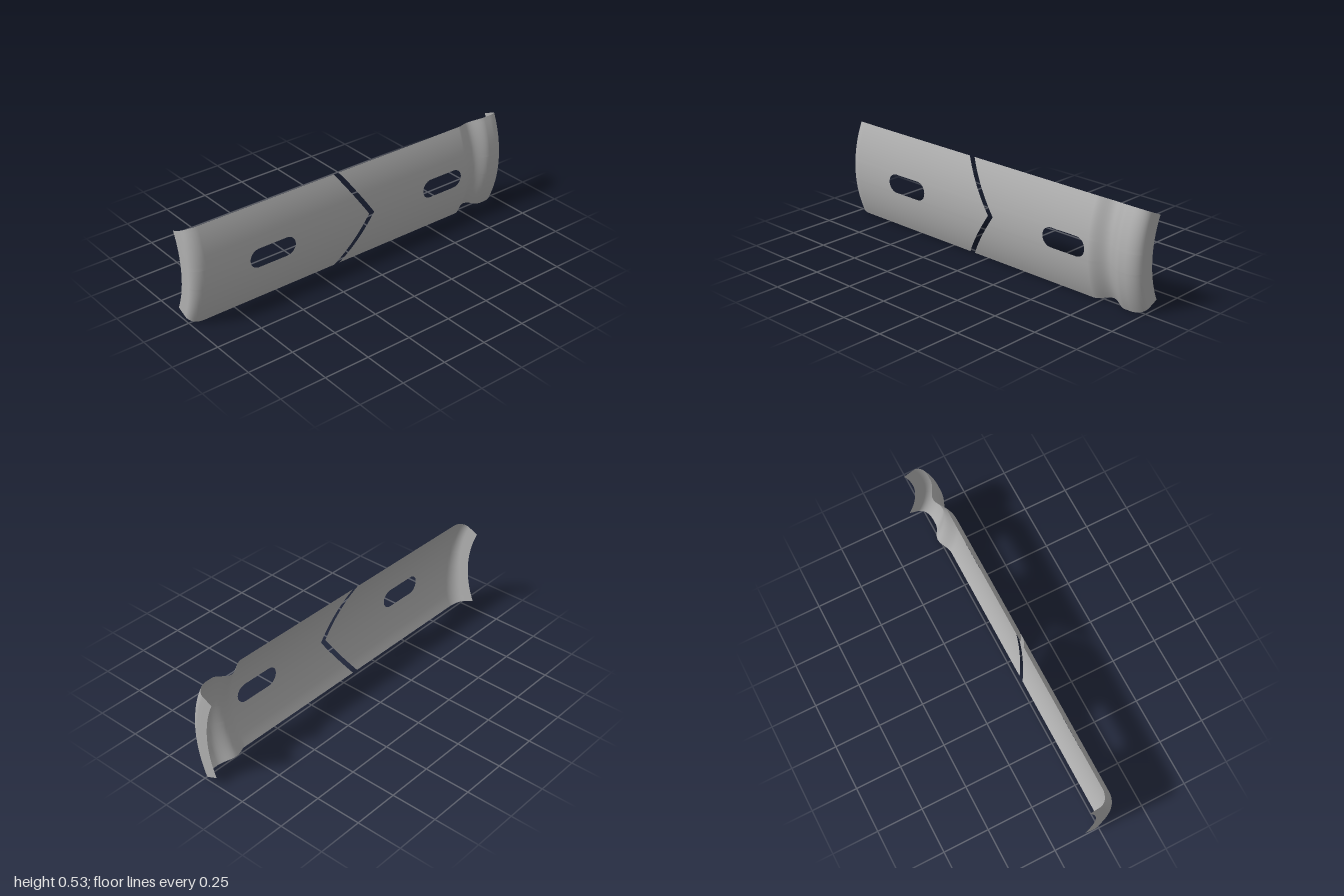
import * as THREE from 'three';

const R = 0.63;            // outer radius of the curved plate
const AXIS = -0.55;        // x of the curve's axis
const MID = 0.265;         // height of the middle line
const HALF = 0.264;        // half height of the plate
const SLOT_H = 0.052;      // half height of the slots

// Heights from the middle line: round slot ends first, then the outer bands
const upper = [];
for (let k = 1; k <= 8; k++) upper.push(SLOT_H * Math.sin((k / 8) * Math.PI / 2));
for (let k = 1; k <= 10; k++) upper.push(SLOT_H + (HALF - SLOT_H) * k / 10);
const rows = [...upper.map(h => -h).reverse(), 0, ...upper];

// Curved lip at an end, as [radius, z] from the flange edge to the flat
function lip(sign) {
  const points = [[0.515, sign], [0.55, sign]];
  for (let k = 0; k <= 8; k++) {
    const t = (k / 8) * Math.PI / 2;
    points.push([0.575 + 0.055 * Math.sin(t), sign * (0.93 + 0.07 * Math.cos(t))]);
  }
  return points;
}

// Rounded groove near the back end
function groove() {
  const points = [];
  for (let k = 0; k <= 16; k++) {
    const t = k / 16;
    points.push([R - 0.019 * (1 - Math.cos(t * Math.PI * 2)), -0.705 - 0.19 * t]);
  }
  return points;
}

// Slot edge whose ends are rounded
const slotEdge = (centre, halfStraight, side) => h =>
  [R, centre + side * (halfStraight + Math.sqrt(Math.max(0, SLOT_H ** 2 - h * h)))];
// V-shaped cut edge
const cutEdge = tip => h => [R, tip + 0.182 * Math.abs(h) / HALF];

// Sheet from columns running front to back, each giving [radius, z] per row
function sheet(columns, slotColumn) {
  const position = [], index = [], n = columns.length;
  rows.forEach(h => {
    const a = Math.asin(h / R);
    columns.forEach(column => {
      const [r, z] = typeof column === 'function' ? column(h) : column;
      position.push(AXIS + r * Math.cos(a), MID + r * Math.sin(a), z);
    });
  });
  for (let i = 0; i < rows.length - 1; i++) {
    const inSlot = Math.abs(rows[i] + rows[i + 1]) / 2 < SLOT_H;
    for (let j = 0; j < n - 1; j++) {
      if (inSlot && j === slotColumn) continue;
      const a = i * n + j, b = a + 1, c = a + n, d = c + 1;
      index.push(a, b, c, b, d, c);
    }
  }
  const geometry = new THREE.BufferGeometry();
  geometry.setAttribute('position', new THREE.Float32BufferAttribute(position, 3));
  geometry.setIndex(index);
  geometry.computeVertexNormals();
  return geometry;
}

export function createModel() {
  const model = new THREE.Group();
  model.name = 'curvedSlottedPlate';
  const steel = new THREE.MeshStandardMaterial({ color: 0xb0b0b0, side: THREE.DoubleSide });
  steel.name = 'grey steel';

  // Front half: lip, slot, V-shaped point
  const frontLip = lip(1);
  const front = new THREE.Mesh(sheet([
    ...frontLip, slotEdge(0.547, 0.083, 1), slotEdge(0.547, 0.083, -1), cutEdge(-0.052),
  ], frontLip.length), steel);
  front.name = 'frontPlate';

  // Back half: V-shaped notch, slot, groove, lip
  const back = new THREE.Mesh(sheet([
    cutEdge(-0.085), slotEdge(-0.551, 0.081, 1), slotEdge(-0.551, 0.081, -1),
    ...groove(), ...lip(-1).reverse(),
  ], 1), steel);
  back.name = 'backPlate';

  model.add(front, back);
  return model;
}
